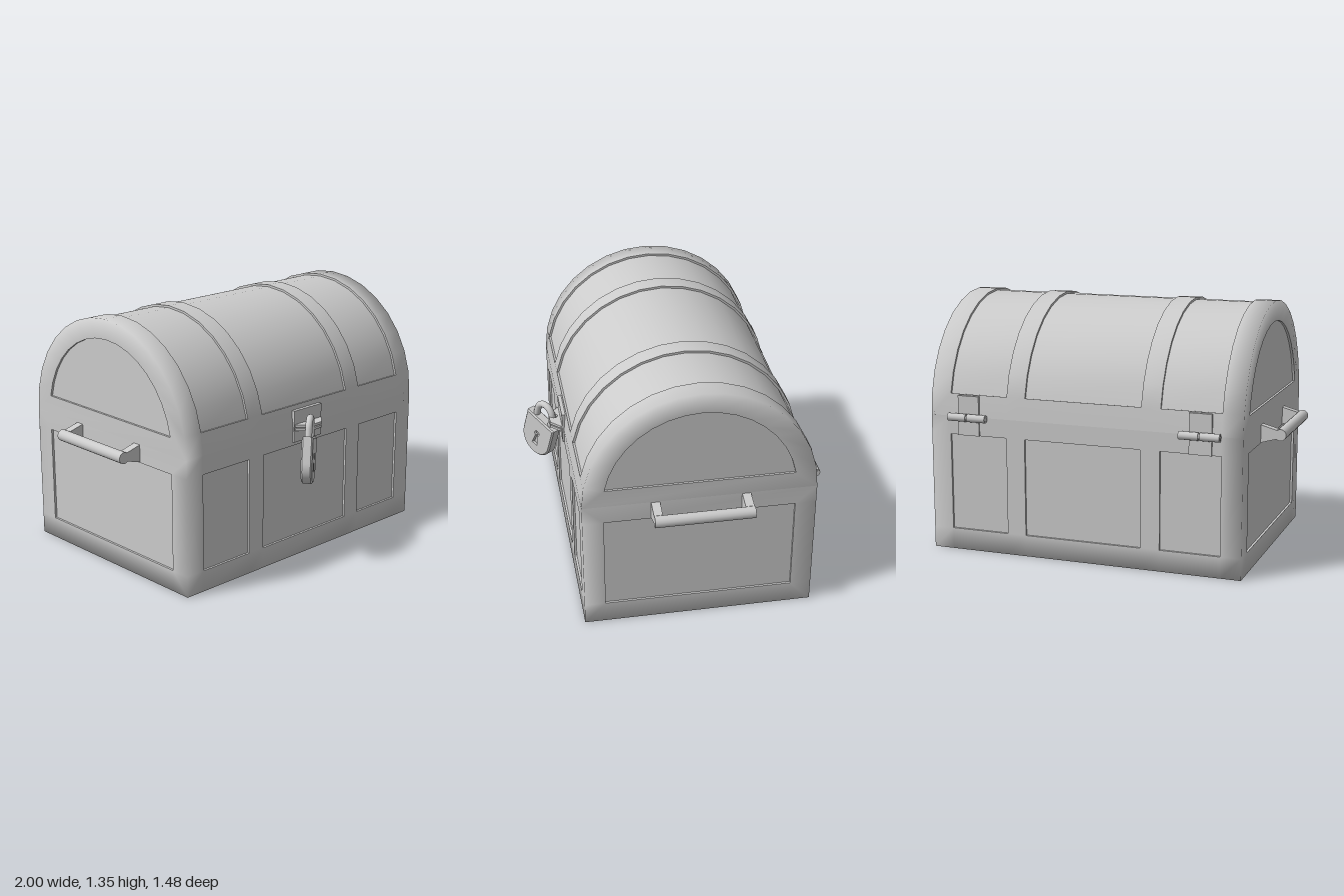
import * as THREE from 'three';
import { mergeVertices, toCreasedNormals } from 'three/addons/utils/BufferGeometryUtils.js';

const HALF = 0.865, ZC = -0.08, R = 0.614, SEAM = 0.74, DEPTH = 0.012;
const FRONT = ZC + R, BACK = ZC - R;
const STATIONS = [-HALF, -0.753, -0.428, -0.323, 0.323, 0.428, 0.753, HALF];
const material = new THREE.MeshStandardMaterial({ color: 0xcccccc });

function add(parent, name, geometry, x = 0, y = 0, z = 0) {
  const mesh = new THREE.Mesh(geometry, material);
  mesh.name = name;
  mesh.position.set(x, y, z);
  parent.add(mesh);
  return mesh;
}

function toGeometry(positions) {
  const g = new THREE.BufferGeometry();
  g.setAttribute('position', new THREE.Float32BufferAttribute(positions, 3));
  return g;
}

// Chest half: a profile swept along x, with raised bands around sunken panels.
// profile: [z, y, normalZ, normalY]; inner: end panel outline matching the profile;
// isPanel(i, j): whether the cell at station i, profile segment j is sunken.
function chestHalf(name, profile, inner, isPanel) {
  const frame = [], panels = [];
  const quad = (out, a, b, c, d) => out.push(...a, ...b, ...c, ...a, ...c, ...d);
  const point = (i, j, d) => {
    const [z, y, nz, ny] = profile[j];
    return [STATIONS[i], y - ny * d, z - nz * d];
  };
  for (let i = 0; i < STATIONS.length - 1; i++) {
    for (let j = 0; j < profile.length - 1; j++) {
      const corners = [[i, j], [i + 1, j], [i + 1, j + 1], [i, j + 1]];
      const outer = corners.map(([a, b]) => point(a, b, 0));
      if (!isPanel(i, j)) { quad(frame, ...outer); continue; }
      const sunk = corners.map(([a, b]) => point(a, b, DEPTH));
      quad(panels, ...sunk);
      [[i, j - 1], [i + 1, j], [i, j + 1], [i - 1, j]].forEach(([a, b], e) => {
        const f = (e + 1) % 4;
        if (!isPanel(a, b)) quad(panels, sunk[e], outer[e], outer[f], sunk[f]);
      });
    }
  }
  // End rings, recess walls and end panels
  for (const s of [1, -1]) {
    const put = (out, ...q) => quad(out, ...(s > 0 ? q.reverse() : q));
    const n = profile.length;
    const mid = [s * (HALF - DEPTH), inner.reduce((t, p) => t + p[1], 0) / n, ZC];
    for (let j = 0; j < n; j++) {
      const k = (j + 1) % n;
      const o = (m) => [s * HALF, profile[m][1], profile[m][0]];
      const r = (m, d) => [s * (HALF - d), inner[m][1], inner[m][0]];
      put(frame, o(j), o(k), r(k, 0), r(j, 0));
      put(panels, r(j, 0), r(k, 0), r(k, DEPTH), r(j, DEPTH));
      const tri = [r(j, DEPTH), r(k, DEPTH), mid];
      panels.push(...(s > 0 ? tri.reverse() : tri).flat());
    }
  }
  const smooth = mergeVertices(toGeometry(frame), 1e-4);
  smooth.computeVertexNormals();
  const group = new THREE.Group();
  group.name = name;
  add(group, name + 'Frame', smooth);
  add(group, name + 'Panels', toCreasedNormals(toGeometry(panels), 0.5));
  return group;
}

const split = (i) => i === 1 || i === 3 || i === 5;

function createBody() {
  const lo = 0.115, hi = 0.64, zb = BACK + 0.112, zf = FRONT - 0.112;
  const profile = [
    [BACK, SEAM, -1, 0], [BACK, hi, -1, 0], [BACK, lo, -1, 0], [BACK, 0, -1, 0],
    [zb, 0, 0, -1], [zf, 0, 0, -1],
    [FRONT, 0, 1, 0], [FRONT, lo, 1, 0], [FRONT, hi, 1, 0], [FRONT, SEAM, 1, 0],
  ];
  const inner = profile.map(([z, y]) => [Math.min(zf, Math.max(zb, z)), Math.min(hi, Math.max(lo, y))]);
  return chestHalf('body', profile, inner, (i, j) =>
    ((j === 1 || j === 7) && split(i)) || (j === 4 && i >= 1 && i <= 5));
}

function createLid() {
  const n = 16, r = 0.505, start = Math.asin(0.095 / r);
  const profile = [], inner = [];
  for (let j = 0; j <= n; j++) {
    const a = (j / n) * Math.PI, b = start + (j / n) * (Math.PI - 2 * start);
    const c = Math.cos(a), s = Math.sin(a);
    profile.push([ZC + R * c, SEAM + R * s, c, s]);
    inner.push([ZC + r * Math.cos(b), SEAM + r * Math.sin(b)]);
  }
  return chestHalf('lid', profile, inner, (i, j) => j >= 1 && j <= n - 2 && split(i));
}

const shapeOf = (pts) => new THREE.Shape(pts.map(([x, y]) => new THREE.Vector2(x, y)));

// Side handle: two tapered brackets and a round bar
function createHandle(side) {
  const g = new THREE.Group();
  g.name = side > 0 ? 'leftHandle' : 'rightHandle';
  const bracket = new THREE.ExtrudeGeometry(
    shapeOf([[0.855, 0.64], [0.95, 0.668], [0.97, 0.69], [0.95, 0.715], [0.855, 0.74]]),
    { depth: 0.046, bevelEnabled: false });
  for (const z of [0.214, -0.26]) add(g, 'handleBracket', bracket, 0, 0, z);
  const bar = new THREE.CylinderGeometry(0.031, 0.031, 0.52, 16).rotateX(Math.PI / 2);
  add(g, 'handleBar', bar, 0.969, 0.69, 0);
  g.position.z = ZC - 0.003;
  if (side < 0) g.rotation.y = Math.PI;
  return g;
}

// Back hinge: plates on lid and body, two knuckles and a pin
function createHinge(x) {
  const g = new THREE.Group();
  g.name = 'hinge';
  add(g, 'lidPlate', new THREE.BoxGeometry(0.12, 0.11, 0.016), 0, 0.8, BACK - 0.002);
  add(g, 'bodyPlate', new THREE.BoxGeometry(0.12, 0.1, 0.016), 0, 0.69, BACK - 0.002);
  const knuckle = new THREE.CylinderGeometry(0.021, 0.021, 0.104, 14).rotateZ(Math.PI / 2);
  for (const s of [-1, 1]) add(g, 'knuckle', knuckle, s * 0.056, SEAM, -0.721);
  add(g, 'pin', new THREE.CylinderGeometry(0.014, 0.014, 0.22, 12).rotateZ(Math.PI / 2), 0, SEAM, -0.721);
  g.position.x = x;
  return g;
}

// Front clasp: plates and two pierced tabs
function createClasp() {
  const g = new THREE.Group();
  g.name = 'clasp';
  add(g, 'claspPlate', new THREE.BoxGeometry(0.21, 0.175, 0.02), 0, 0.747, FRONT);
  const tab = shapeOf([[-0.1, 0.535], [0.1, 0.535], [0.1, 0.55], [0.045, 0.604], [-0.045, 0.604], [-0.1, 0.55]]);
  tab.holes.push(new THREE.Path().absarc(-0.016, 0.578, 0.021, 0, Math.PI * 2, true));
  const geo = new THREE.ExtrudeGeometry(tab, { depth: 0.014, bevelEnabled: false }).rotateX(Math.PI / 2);
  for (const y of [0.739, 0.759]) add(g, 'claspTab', geo, 0, y, 0);
  return g;
}

// Padlock hanging askew from the clasp
function createPadlock() {
  const g = new THREE.Group();
  g.name = 'padlock';
  const outline = (r) => {
    const s = new THREE.Shape();
    s.moveTo(r, 0.03 + r);
    s.lineTo(-r, 0.03 + r);
    s.lineTo(-r, 0);
    s.absarc(0, 0, r, Math.PI, Math.PI * 2, false);
    return s;
  };
  const keyed = outline(0.102);
  const hole = new THREE.Path();
  hole.moveTo(-0.02, -0.045);
  hole.lineTo(-0.008, 0.02);
  hole.absarc(0, 0.036, 0.018, Math.PI * 1.35, -Math.PI * 0.35, true);
  hole.lineTo(0.02, -0.045);
  hole.closePath();
  keyed.holes.push(hole);
  const shell = new THREE.ExtrudeGeometry(keyed,
    { depth: 0.044, bevelThickness: 0.008, bevelSize: 0.008, bevelSegments: 1, curveSegments: 16 });
  add(g, 'lockBody', toCreasedNormals(shell, 0.5), 0, 0, -0.022);
  add(g, 'lockCore', new THREE.ExtrudeGeometry(outline(0.098), { depth: 0.04, bevelEnabled: false }), 0, 0, -0.02);
  const path = new THREE.CurvePath();
  const v = (x, y) => new THREE.Vector3(x, y, 0);
  const arc = [];
  for (let i = 0; i <= 12; i++) {
    const a = Math.PI * (1 - i / 12);
    arc.push(v(0.058 * Math.cos(a), 0.182 + 0.058 * Math.sin(a)));
  }
  path.add(new THREE.LineCurve3(v(-0.058, 0.12), arc[0]));
  path.add(new THREE.CatmullRomCurve3(arc));
  path.add(new THREE.LineCurve3(arc[12], v(0.058, 0.12)));
  add(g, 'shackle', new THREE.TubeGeometry(path, 36, 0.019, 12));
  g.rotation.set(0, THREE.MathUtils.degToRad(37), THREE.MathUtils.degToRad(-18));
  g.position.set(-0.11, 0.575, 0.655);
  return g;
}

export function createModel() {
  const model = new THREE.Group();
  model.name = 'treasureChest';
  model.add(createBody(), createLid(), createHandle(1), createHandle(-1),
    createHinge(0.642), createHinge(-0.645), createClasp(), createPadlock());
  return model;
}
